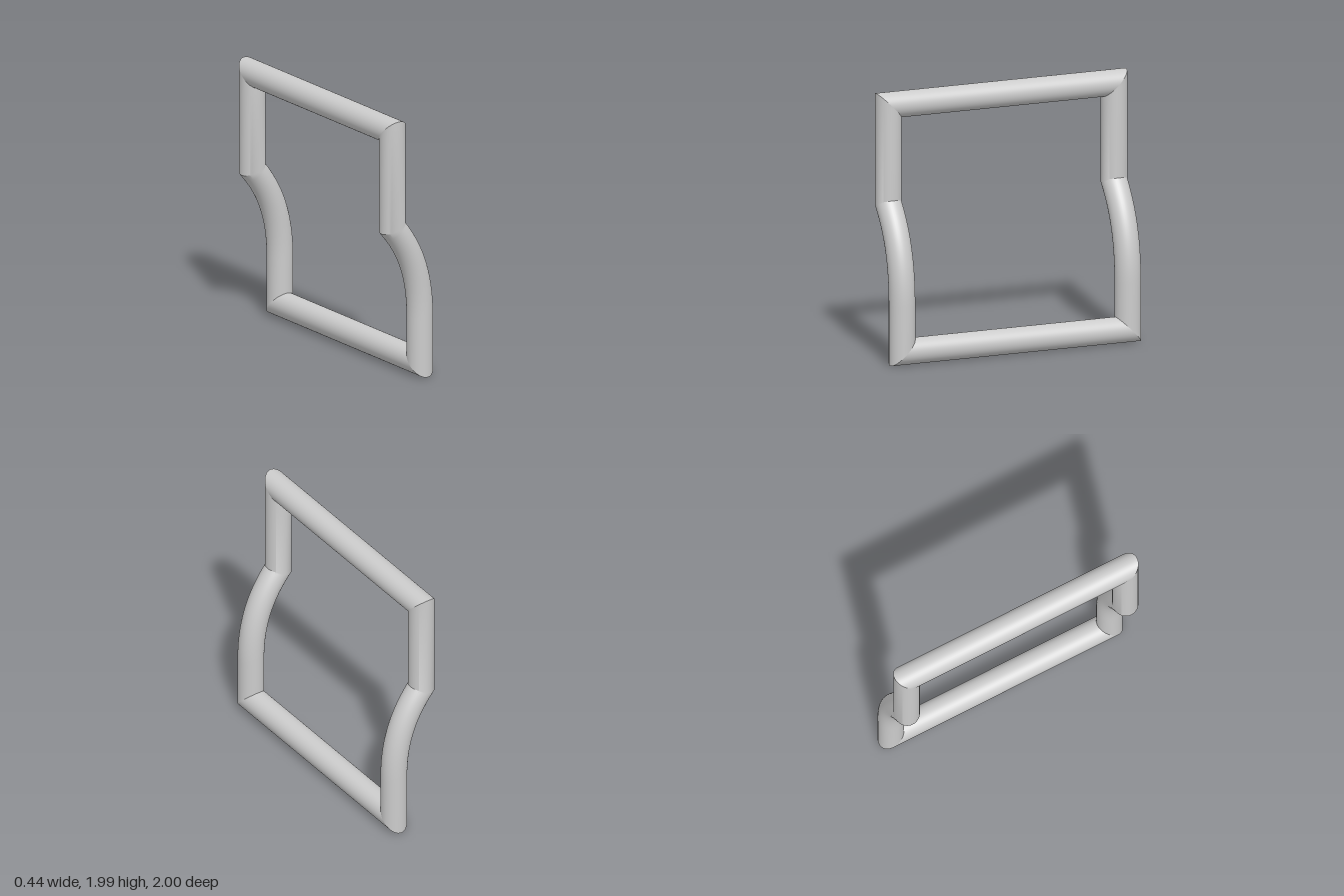
import * as THREE from 'three';
import { toCreasedNormals } from 'three/addons/utils/BufferGeometryUtils.js';

const R = 0.097, SIDES = 40;
const X = 0.122, LOW = 0.097, HIGH = 1.89, DEPTH = 0.903;

// Skin a list of rings, each a function of angle giving [x, y, z]
function loft(rings) {
  const pos = [], index = [];
  rings.forEach((ring, j) => {
    for (let i = 0; i < SIDES; i++) {
      const a = (i / SIDES) * Math.PI * 2;
      pos.push(...ring(Math.cos(a) * R, Math.sin(a) * R));
      if (j === 0) continue;
      const k = (i + 1) % SIDES, p = (j - 1) * SIDES, q = j * SIDES;
      index.push(p + i, p + k, q + k, p + i, q + k, q + i);
    }
  });
  const g = new THREE.BufferGeometry();
  g.setAttribute('position', new THREE.Float32BufferAttribute(pos, 3));
  g.setIndex(index);
  return toCreasedNormals(g, Math.PI / 7);
}

// Straight rail along z, mitred at both ends; side is +1 for top, -1 for bottom
function railGeometry(x, y, side) {
  return loft([-1, 1].map(end => (c, s) => [x + c, y + s, end * (DEPTH + side * s)]));
}

// Upright following a bent centreline, with mitred joints
function uprightGeometry(zSign) {
  const bend = new THREE.CubicBezierCurve(
    new THREE.Vector2(-X, 1.16), new THREE.Vector2(0.013, 1.0),
    new THREE.Vector2(X, 0.8), new THREE.Vector2(X, 0.45));
  const path = [new THREE.Vector2(-X, HIGH), ...bend.getPoints(24), new THREE.Vector2(X, LOW)];
  const last = path.length - 1;
  const dir = i => path[i + 1].clone().sub(path[i]).normalize();
  return loft(path.map((p, i) => {
    const before = dir(Math.max(i - 1, 0)), after = dir(Math.min(i, last - 1));
    const d = before.clone().add(after).normalize();
    const widen = 1 / d.dot(before);
    const slope = i === 0 ? zSign : i === last ? -zSign : 0;
    return (c, s) => [p.x - d.y * c * widen, p.y + d.x * c * widen + slope * s, zSign * DEPTH + s];
  }));
}

export function createModel() {
  const group = new THREE.Group();
  group.name = 'bentTubeFrame';
  const material = new THREE.MeshStandardMaterial({ color: 0xcccccc });
  const add = (name, geometry) => {
    const mesh = new THREE.Mesh(geometry, material);
    mesh.name = name;
    group.add(mesh);
  };
  add('topRail', railGeometry(-X, HIGH, 1));
  add('bottomRail', railGeometry(X, LOW, -1));
  add('frontUpright', uprightGeometry(1));
  add('backUpright', uprightGeometry(-1));
  return group;
}
